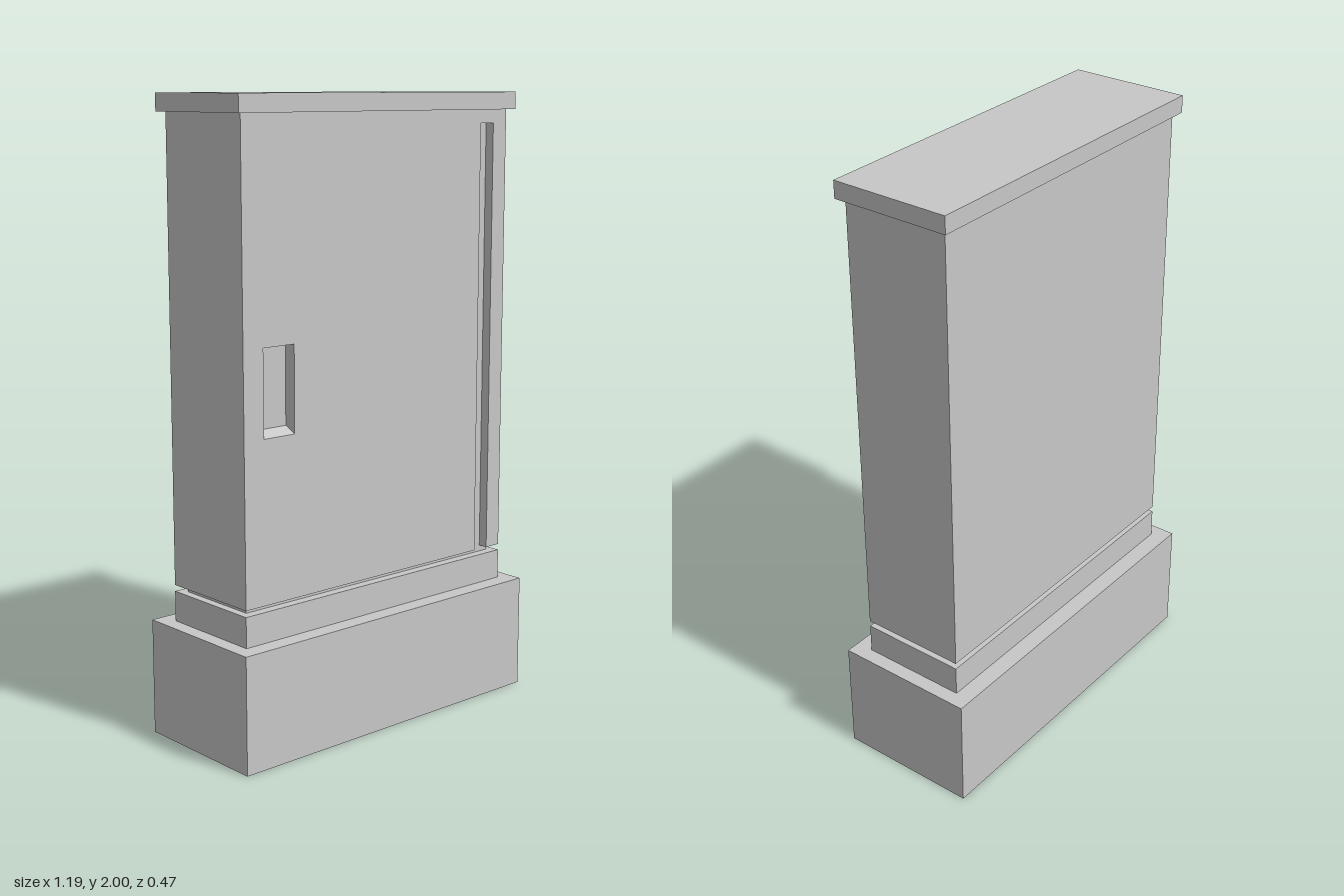
import * as THREE from 'three';
import { mergeGeometries } from 'three/addons/utils/BufferGeometryUtils.js';

const grey = new THREE.MeshStandardMaterial({ color: 0xc7c7c7, side: THREE.DoubleSide });
grey.name = 'light grey paint';

// Box given by half width, half depth and its lower and upper height
function slab(name, hx, hz, y0, y1, openBottom = false) {
  const geo = new THREE.BoxGeometry(2 * hx, y1 - y0, 2 * hz);
  if (openBottom) {
    const index = Array.from(geo.index.array);
    index.splice(18, 6); // the downward face
    geo.setIndex(index);
    geo.clearGroups();
  }
  const mesh = new THREE.Mesh(geo, grey);
  mesh.name = name;
  mesh.position.y = (y0 + y1) / 2;
  return mesh;
}

// Flat four-cornered face, corners counter-clockwise from outside
function quad(a, b, c, d) {
  const points = [a, b, c, a, c, d].map((p) => new THREE.Vector3(...p));
  const geo = new THREE.BufferGeometry().setFromPoints(points);
  geo.computeVertexNormals();
  return geo;
}

function face(points, hole) {
  const shape = new THREE.Shape(points.map((p) => new THREE.Vector2(...p)));
  if (hole) shape.holes.push(new THREE.Path(hole.map((p) => new THREE.Vector2(...p))));
  const geo = new THREE.ShapeGeometry(shape).toNonIndexed();
  geo.deleteAttribute('uv');
  return geo;
}

// Cabinet body with a hinge groove and a handle recess in the front
function cabinetBody() {
  const X = 0.548, Z = 0.177, B = 0.49, T = 1.945;
  const g0 = 0.431, g1 = 0.489, gt = 1.902, gz = 0.145;  // groove and its floor
  const h0 = -0.473, h1 = -0.355, hb = 1.0, hs = 1.02, ht = 1.271, hz = 0.136; // recess

  const front = face(
    [[-X, B], [g0, B], [g0, gt], [g1, gt], [g1, B], [X, B], [X, T], [-X, T]],
    [[h0, hb], [h0, ht], [h1, ht], [h1, hb]]
  ).translate(0, 0, Z);
  const bottom = face(
    [[-X, -Z], [X, -Z], [X, Z], [g1, Z], [g1, gz], [g0, gz], [g0, Z], [-X, Z]]
  ).rotateX(Math.PI / 2).translate(0, B, 0);

  const parts = [
    front, bottom,
    // back and sides
    quad([X, B, -Z], [-X, B, -Z], [-X, T, -Z], [X, T, -Z]),
    quad([X, B, Z], [X, B, -Z], [X, T, -Z], [X, T, Z]),
    quad([-X, B, -Z], [-X, B, Z], [-X, T, Z], [-X, T, -Z]),
    // groove floor, walls and top
    quad([g0, B, gz], [g1, B, gz], [g1, gt, gz], [g0, gt, gz]),
    quad([g0, B, Z], [g0, B, gz], [g0, gt, gz], [g0, gt, Z]),
    quad([g1, B, gz], [g1, B, Z], [g1, gt, Z], [g1, gt, gz]),
    quad([g0, gt, gz], [g1, gt, gz], [g1, gt, Z], [g0, gt, Z]),
    // recess floor, walls, top and sloping sill
    quad([h0, hs, hz], [h1, hs, hz], [h1, ht, hz], [h0, ht, hz]),
    quad([h0, hb, Z], [h0, hs, hz], [h0, ht, hz], [h0, ht, Z]),
    quad([h1, hs, hz], [h1, hb, Z], [h1, ht, Z], [h1, ht, hz]),
    quad([h0, ht, hz], [h1, ht, hz], [h1, ht, Z], [h0, ht, Z]),
    quad([h0, hb, Z], [h1, hb, Z], [h1, hs, hz], [h0, hs, hz]),
  ];
  const mesh = new THREE.Mesh(mergeGeometries(parts), grey);
  mesh.name = 'cabinetBody';
  return mesh;
}

export function createModel() {
  const model = new THREE.Group();
  model.name = 'streetCabinet';
  model.add(
    slab('plinth', 0.596, 0.235, 0, 0.373, true),
    slab('baseFrame', 0.548, 0.177, 0.373, 0.47),
    slab('shadowGap', 0.522, 0.145, 0.47, 0.49),
    cabinetBody(),
    slab('roofCap', 0.57, 0.197, 1.945, 2)
  );
  return model;
}
